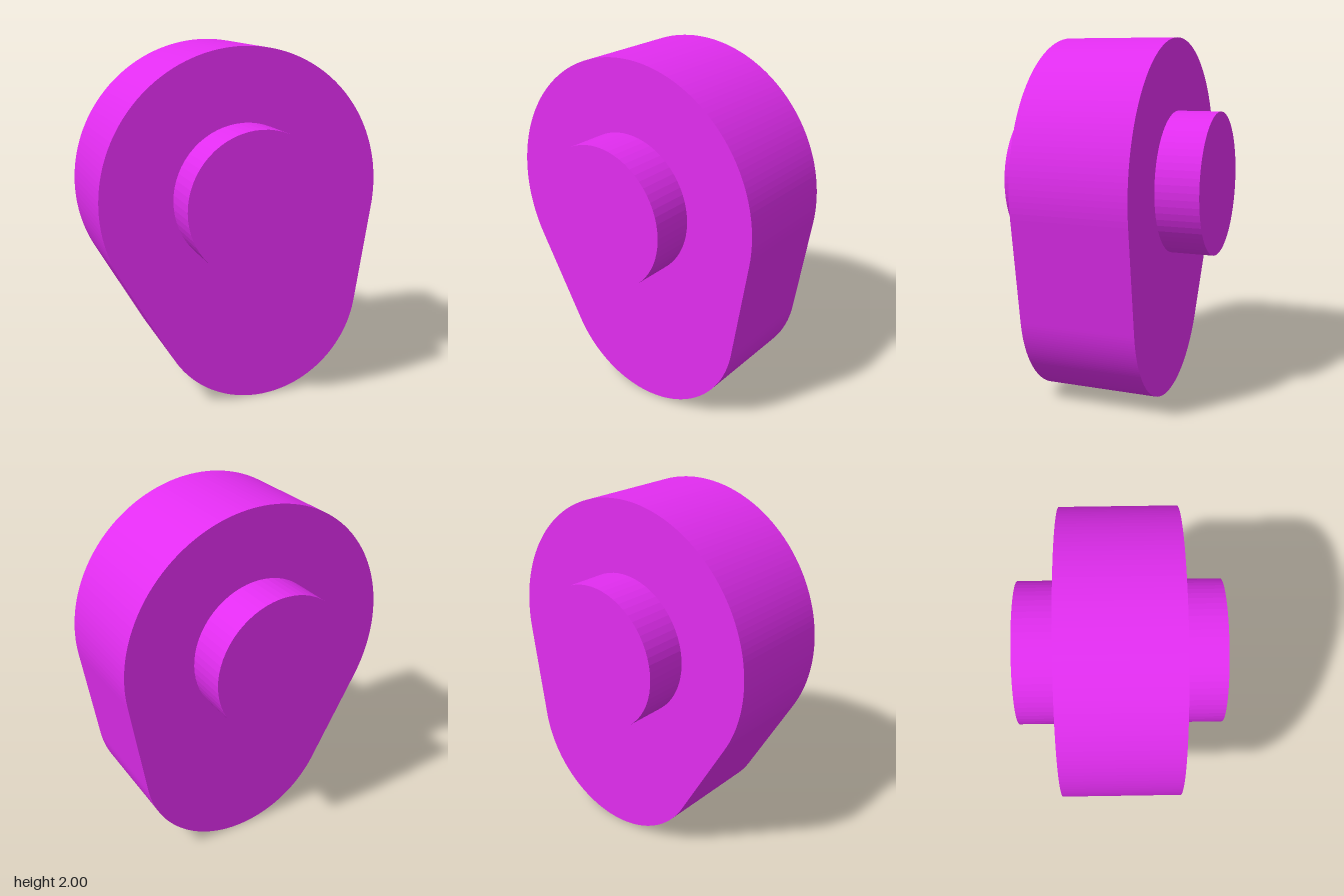
import * as THREE from 'three';

export function createModel() {
  const group = new THREE.Group();
  const material = new THREE.MeshStandardMaterial({ color: 0xe22df0, flatShading: true });

  // Cam outline: two circles joined by their outer tangents
  const base = { x: 0, y: 1.2, r: 0.8 };
  const nose = { x: 0.11, y: 0.6, r: 0.6 };
  const dx = nose.x - base.x, dy = nose.y - base.y;
  const axis = Math.atan2(dy, dx);
  const spread = Math.acos((base.r - nose.r) / Math.hypot(dx, dy));
  const right = axis + spread;
  const left = axis - spread + Math.PI * 2;

  const outline = new THREE.Shape();
  outline.absarc(base.x, base.y, base.r, right, left, false);
  outline.absarc(nose.x, nose.y, nose.r, left, right + Math.PI * 2, false);
  outline.closePath();

  // Cam lobe
  const lobeDepth = 0.64;
  const lobeGeometry = new THREE.ExtrudeGeometry(outline, {
    depth: lobeDepth, bevelEnabled: false, curveSegments: 48,
  });
  lobeGeometry.translate(0, 0, -lobeDepth / 2);
  const lobe = new THREE.Mesh(lobeGeometry, material);
  lobe.name = 'camLobe';
  group.add(lobe);

  // Shaft through the base circle, standing out at front and back
  const shaftGeometry = new THREE.CylinderGeometry(0.4, 0.4, 1.125, 64);
  shaftGeometry.rotateX(Math.PI / 2);
  const shaft = new THREE.Mesh(shaftGeometry, material);
  shaft.name = 'shaft';
  shaft.position.set(base.x, base.y, 0);
  group.add(shaft);

  return group;
}
